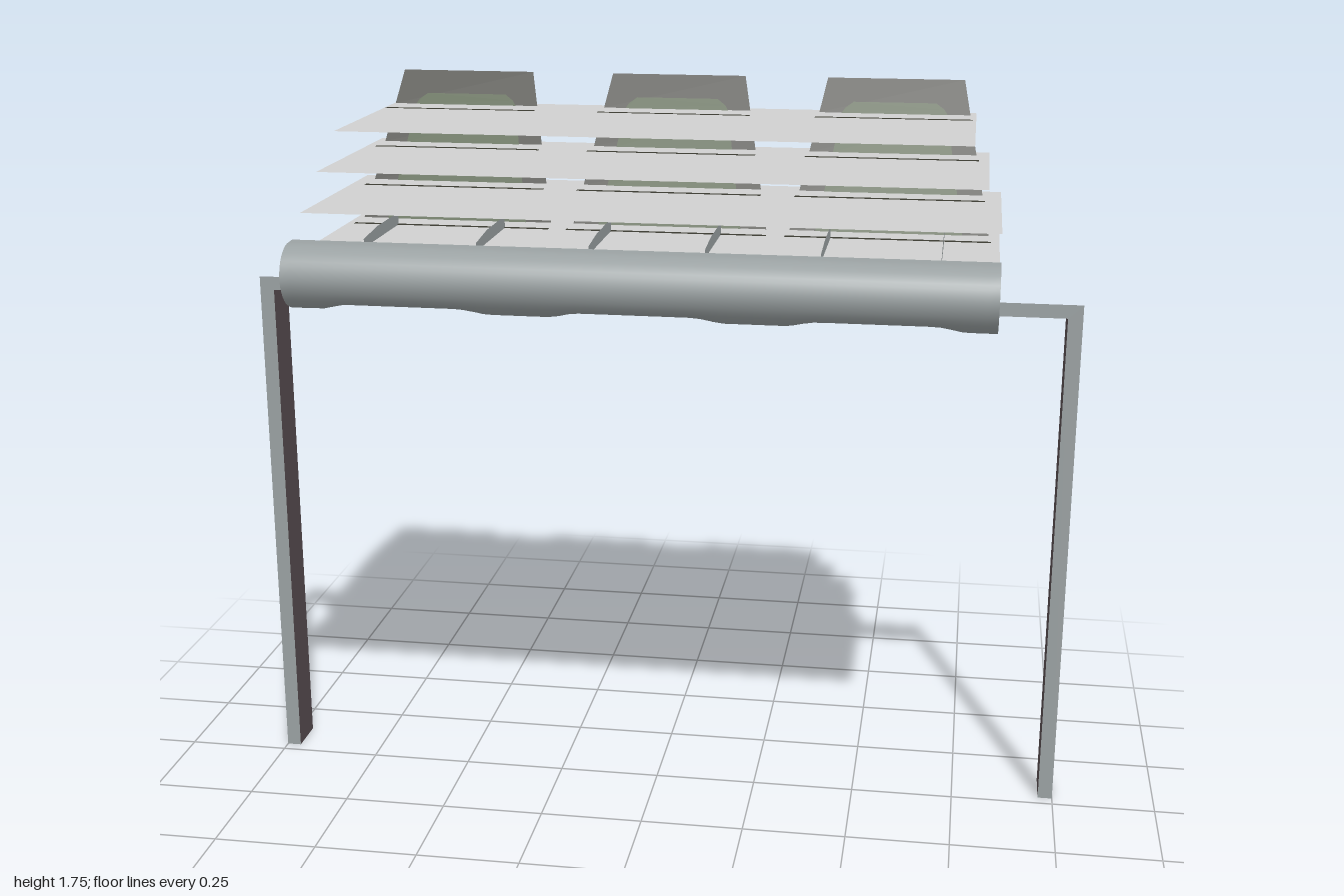
import * as THREE from 'three';

const mat = (name, color) => {
  const m = new THREE.MeshStandardMaterial({ color, side: THREE.DoubleSide });
  m.name = name;
  return m;
};

export function createModel() {
  const model = new THREE.Group();
  const grey = mat('steel grey', 0x9aa1a2);
  const brown = mat('dark brown', 0x574c50);
  const pale = mat('pale shelf', 0xd0d0d0);
  const olive = mat('olive', 0x737a52);
  const dark = mat('dark frame', 0x3a3a31);
  const green = mat('dark green', 0x4b5c3c);

  const add = (name, geometry, material, x = 0, y = 0, z = 0) => {
    const mesh = new THREE.Mesh(geometry, material);
    mesh.name = name;
    mesh.position.set(x, y, z);
    model.add(mesh);
    return mesh;
  };
  const shapeOf = pts => new THREE.Shape(pts.map(p => new THREE.Vector2(p[0], p[1])));
  const flat = pts => new THREE.ShapeGeometry(shapeOf(pts));
  // horizontal sheet facing up
  const sheet = (w, d) => new THREE.PlaneGeometry(w, d).rotateX(-Math.PI / 2);
  // sheet in the y-z plane; points are [z, y]
  const sideSheet = pts => flat(pts.map(([z, y]) => [-z, y])).rotateY(Math.PI / 2);

  // open angle legs with a short arm at the top
  for (const s of [-1, 1]) {
    add('legFront', flat([[s * 0.965, 0], [s, 0], [s, 1.27], [s * 0.715, 1.27],
      [s * 0.715, 1.237], [s * 0.965, 1.237]]), grey, 0, 0, -0.03);
    add('legInnerWall', sideSheet([[-0.03, 0], [-0.13, 0], [-0.13, 1.237], [-0.03, 1.237]]), brown, s * 0.965);
    add('armPlate', sheet(0.25, 0.1), brown, s * 0.84, 1.237, -0.08);
    add('armEnd', sideSheet([[-0.03, 1.237], [-0.13, 1.237], [-0.13, 1.27], [-0.03, 1.27]]), brown, s * 0.715);
    add('footPlate', sheet(0.035, 0.1), brown, s * 0.9825, 0.001, -0.08);
  }

  const bays = [-0.535, 0, 0.535];

  // curled front sheet, lifted a little under each bay
  const curve = new THREE.CatmullRomCurve3([
    [0.15, 1.275], [0.25, 1.272], [0.31, 1.278], [0.357, 1.305], [0.38, 1.352],
    [0.367, 1.398], [0.33, 1.425], [0.28, 1.43],
  ].map(([z, y]) => new THREE.Vector3(0, y, z)));
  const nx = 64, nv = 28;
  const roll = new THREE.PlaneGeometry(1.6, 1, nx, nv);
  const p = roll.attributes.position;
  for (let i = 0; i < p.count; i++) {
    const t = 0.5 + p.getY(i), x = p.getX(i);
    const c = curve.getPoint(t);
    const near = Math.min(...bays.map(b => Math.abs(x - b)));
    const inBay = 1 - THREE.MathUtils.smoothstep(near, 0.12, 0.2);
    const fade = 1 - THREE.MathUtils.smoothstep(c.z, 0.28, 0.37);
    const lift = c.y < 1.35 ? 0.018 * inBay * fade : 0;
    p.setXYZ(i, x, c.y + lift, c.z);
  }
  roll.computeVertexNormals();
  add('curledFront', roll, grey);

  // underside sheet with an opening for each bay
  const under = shapeOf([[-0.8, -0.15], [0.8, -0.15], [0.8, 0.135], [-0.8, 0.135]]);
  for (const b of bays) {
    under.holes.push(new THREE.Path([[-0.135, -0.14], [-0.135, 0.1], [0.135, 0.1], [0.135, -0.14]]
      .map(q => new THREE.Vector2(b + q[0], q[1]))));
  }
  add('underside', new THREE.ShapeGeometry(under).rotateX(-Math.PI / 2), grey, 0, 1.275, 0);
  add('rearRail', new THREE.PlaneGeometry(1.6, 0.075), olive, 0, 1.308, -0.136);

  // bay walls and their brackets
  for (const b of bays) {
    for (const s of [-1, 1]) {
      add('bayWall', sideSheet([[0.155, 1.28], [0.155, 1.41], [0.05, 1.42],
        [-0.133, 1.42], [-0.133, 1.28]]), grey, b + s * 0.135);
      add('bayBracket', sideSheet([[0.18, 1.33], [0.18, 1.385], [-0.03, 1.385], [-0.03, 1.33]]),
        brown, b + s * 0.131);
    }
  }

  // stepped shelves: half width, back, front, height
  const shelves = [[0.8, -0.275, 0.255, 1.39], [0.8, -0.315, 0.218, 1.48],
    [0.768, -0.352, 0.183, 1.57], [0.732, -0.388, 0.15, 1.66]];
  for (const [w, z0, z1, y] of shelves) {
    add('shelf', sheet(2 * w, z1 - z0), pale, 0, y, (z0 + z1) / 2);
  }

  // leaning backs, cut at every shelf
  const half = y => 0.232 - 0.21 * (y - 1.43);
  const halfPanel = y => 0.17 - 0.18 * (y - 1.43);
  const leanZ = y => -0.16 - 0.45 * (y - 1.33);
  const lean = (geometry, offset) => {
    const a = geometry.attributes.position;
    for (let i = 0; i < a.count; i++) a.setZ(i, leanZ(a.getY(i)) + offset);
    geometry.computeVertexNormals();
    return geometry;
  };
  const band = (w, y0, y1) => [[-w(y0), y0], [w(y0), y0], [w(y1), y1], [-w(y1), y1]];
  const cuts = [1.33, 1.39, 1.48, 1.57, 1.66, 1.745];
  for (const b of bays) {
    for (let i = 0; i < 5; i++) {
      const y0 = cuts[i] + (i ? 0.005 : 0);
      const y1 = cuts[i + 1] - (i < 4 ? 0.005 : 0);
      add('backFrame', lean(flat(band(half, y0, y1)), 0), dark, b);
      const panel = i < 4 ? band(halfPanel, y0, y1)
        : [[-0.128, y0], [0.128, y0], [0.12, 1.677], [0.1, 1.691], [-0.1, 1.691], [-0.12, 1.677]];
      for (const o of [-0.004, 0.004]) add('backPanel', lean(flat(panel), o), green, b);
    }
    // dark strips on the shelves in front of each back
    for (const [, , , y] of shelves) {
      add('shelfStrip', sheet(2 * half(y) + 0.01, 0.016), dark, b, y + 0.002, leanZ(y) + 0.06);
    }
  }
  return model;
}
